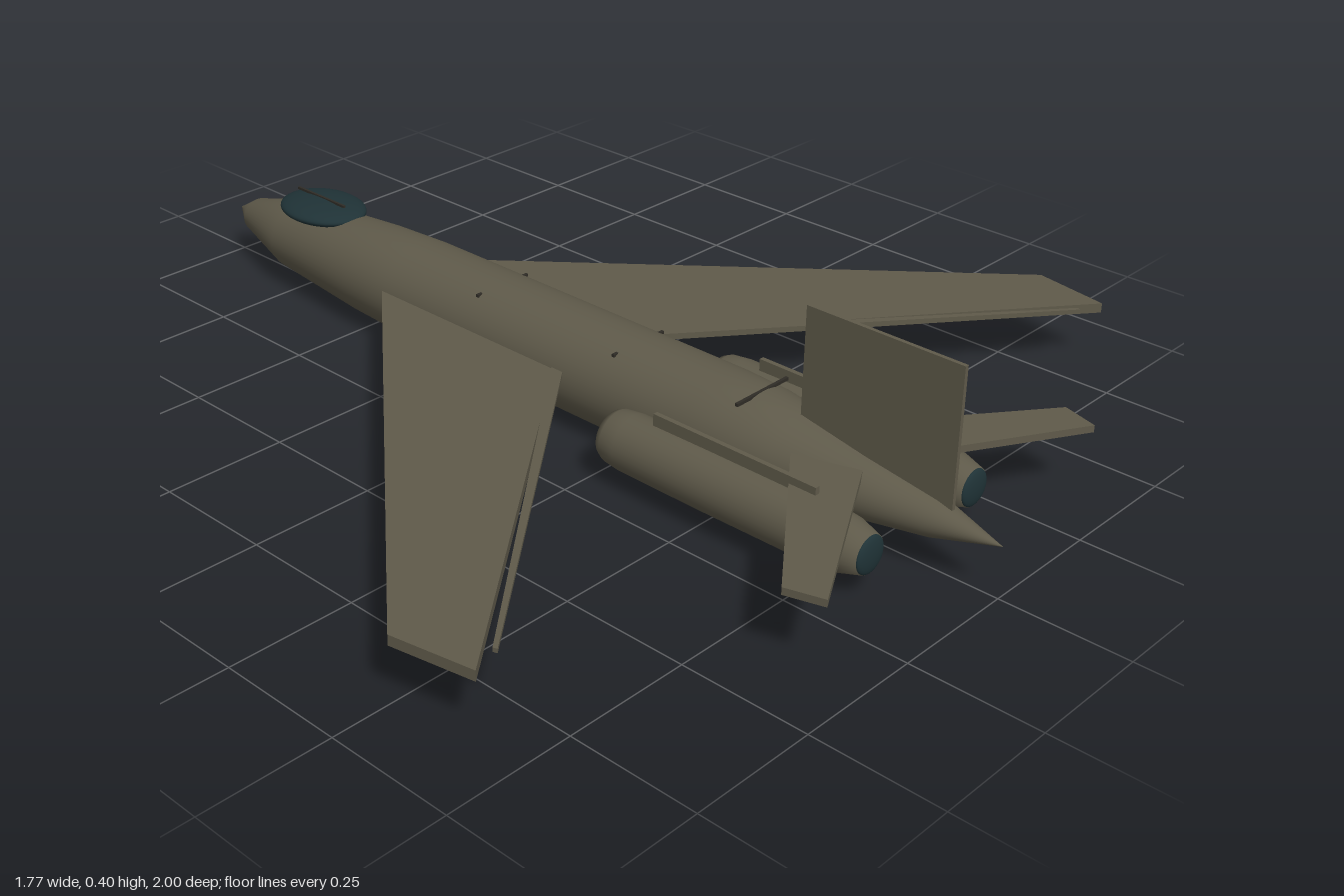
import * as THREE from 'three';

const paint = new THREE.MeshStandardMaterial({ color: 0x5f5a4a });
paint.name = 'olive drab paint';
const glass = new THREE.MeshStandardMaterial({ color: 0x1f3236 });
glass.name = 'dark glass';
const seam = new THREE.MeshStandardMaterial({ color: 0x2f2c26 });
seam.name = 'dark seam';

function add(group, name, geometry, material, x = 0, y = 0, z = 0) {
  const mesh = new THREE.Mesh(geometry, material);
  mesh.name = name;
  mesh.position.set(x, y, z);
  group.add(mesh);
  return mesh;
}

// Body of revolution along z from [radius, z] pairs
function spindle(profile, segments = 40) {
  const points = profile.map(([r, z]) => new THREE.Vector2(r, z));
  return new THREE.LatheGeometry(points, segments).rotateX(Math.PI / 2);
}

// Flat plate from an [x, z] outline, filling y = 0 down to -thickness
function plate(outline, side, thickness) {
  const shape = new THREE.Shape(outline.map(([x, z]) => new THREE.Vector2(x * side, z)));
  return new THREE.ExtrudeGeometry(shape, { depth: thickness, bevelEnabled: false }).rotateX(Math.PI / 2);
}

export function createModel() {
  const plane = new THREE.Group();
  plane.name = 'jetAircraft';

  // Fuselage, slightly wider than tall, nose toward -z
  const hull = spindle([
    [0, -1], [0.036, -0.94], [0.075, -0.79], [0.095, -0.53], [0.1, -0.4],
    [0.1, 0.4], [0.096, 0.5], [0.085, 0.58], [0.058, 0.72], [0.035, 0.87], [0, 1],
  ], 48).scale(1.1, 1, 1);
  add(plane, 'fuselage', hull, paint, 0, 0.1, 0);

  // Canopy with its centre frame
  add(plane, 'canopy', new THREE.SphereGeometry(1, 32, 20).scale(0.08, 0.022, 0.105), glass, 0, 0.185, -0.71);
  add(plane, 'canopyFrame', new THREE.BoxGeometry(0.005, 0.005, 0.15), seam, 0, 0.207, -0.715);

  // Panel seams across the back
  for (const [z, y, width] of [[-0.165, 0.183, 0.136], [0.195, 0.183, 0.136], [0.49, 0.194, 0.14]]) {
    add(plane, 'panelSeam', new THREE.BoxGeometry(width, 0.006, 0.006), seam, 0, y, z);
  }

  // Upright tail fin
  add(plane, 'tailFin', new THREE.BoxGeometry(0.008, 0.27, 0.32), paint, 0, 0.26, 0.74);

  for (const side of [1, -1]) {
    const half = new THREE.Group();
    half.name = side > 0 ? 'leftSide' : 'rightSide';
    plane.add(half);

    // Swept wing with a narrow flap behind it
    add(half, 'wing', plate([[0.08, -0.435], [0.885, 0.5], [0.855, 0.66], [0.08, 0.06]], side, 0.02),
      paint, 0, 0.127, 0);
    add(half, 'flap', plate([[0.1, 0.07], [0.8, 0.638], [0.797, 0.646], [0.1, 0.098]], side, 0.008),
      paint, 0, 0.129, 0);

    // Swept tailplane
    add(half, 'tailplane', plate([[0.02, 0.575], [0.4, 0.86], [0.378, 0.932], [0.02, 0.73]], side, 0.014),
      paint, 0, 0.148, 0);

    // Engine pod with dark intake and exhaust
    const engine = new THREE.Group();
    engine.name = 'engine';
    engine.position.set(0.148 * side, 0.083, 0);
    half.add(engine);
    add(engine, 'nacelle', spindle([
      [0, 0.275], [0.038, 0.275], [0.046, 0.272], [0.052, 0.285], [0.056, 0.32],
      [0.057, 0.5], [0.056, 0.74], [0.05, 0.8], [0.037, 0.843], [0, 0.843],
    ], 32), paint);
    add(engine, 'intake', new THREE.SphereGeometry(1, 24, 14).scale(0.038, 0.038, 0.012), glass, 0, 0, 0.275);
    add(engine, 'exhaust', new THREE.SphereGeometry(1, 24, 14).scale(0.036, 0.036, 0.01), glass, 0, 0, 0.843);

    // Thin pylon rail on top of the pod
    add(half, 'pylon', new THREE.BoxGeometry(0.01, 0.035, 0.36), paint, 0.146 * side, 0.145, 0.55);
  }

  return plane;
}
